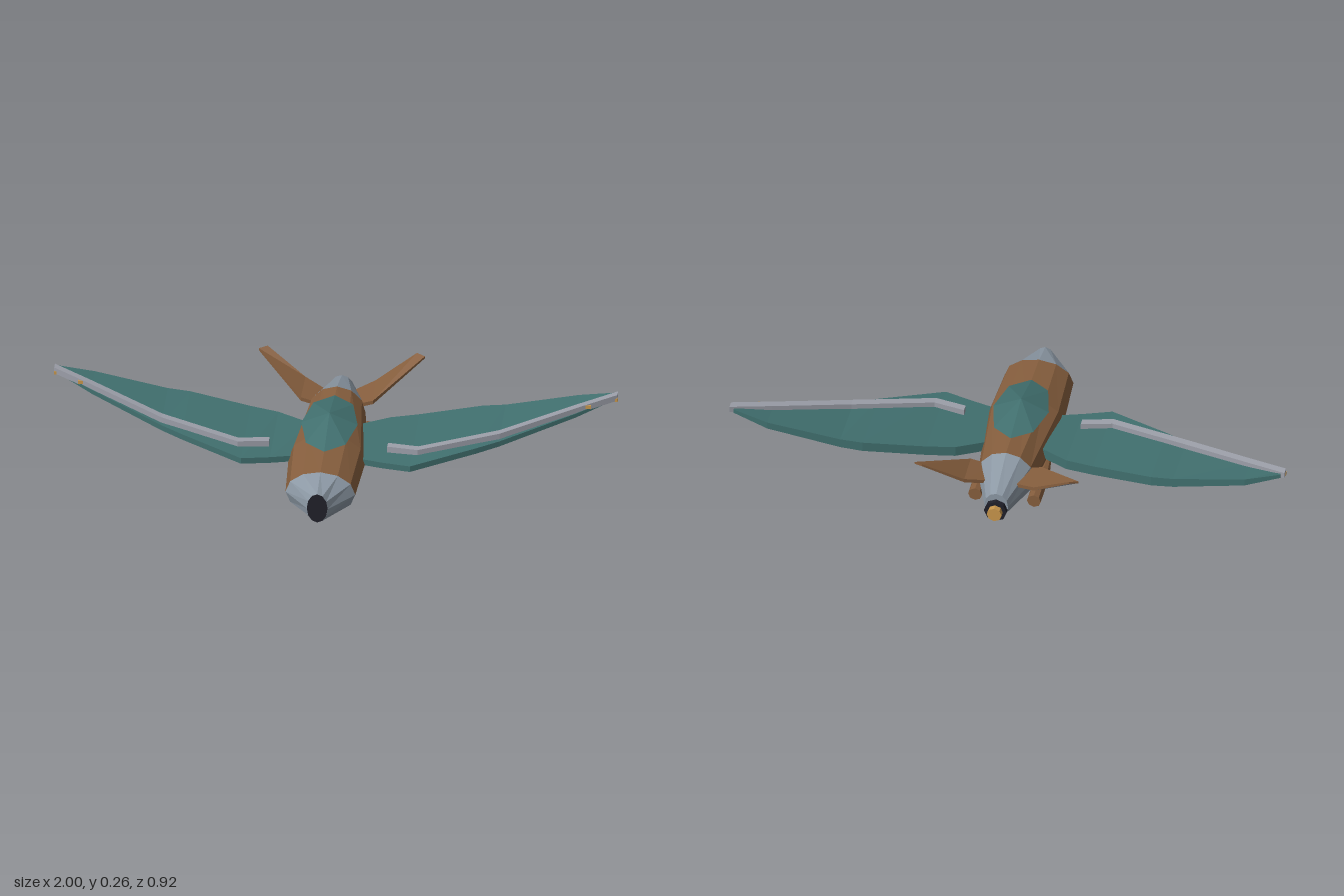
import * as THREE from 'three';

const mat = (name, color) => {
  const m = new THREE.MeshStandardMaterial({ color, flatShading: true });
  m.name = name;
  return m;
};

export function createModel() {
  const brown = mat('brown', 0x875f3e);
  const teal = mat('teal', 0x41706f);
  const silver = mat('silver', 0x8c98a4);
  const steel = mat('steel', 0x9c9fa9);
  const black = mat('black', 0x20202a);
  const gold = mat('gold', 0xc8964b);

  const model = new THREE.Group();
  const add = (name, geo, material, x = 0, y = 0, z = 0) => {
    const mesh = new THREE.Mesh(geo, material);
    mesh.name = name;
    mesh.position.set(x, y, z);
    model.add(mesh);
    return mesh;
  };

  // geometry from lists of quads, one material group per list
  const quads = (...lists) => {
    const pos = [];
    const geo = new THREE.BufferGeometry();
    lists.forEach((list, i) => {
      const start = pos.length / 3;
      for (const [a, b, c, d] of list) pos.push(...a, ...b, ...c, ...a, ...c, ...d);
      geo.addGroup(start, pos.length / 3 - start, i);
    });
    geo.setAttribute('position', new THREE.Float32BufferAttribute(pos, 3));
    geo.computeVertexNormals();
    return geo;
  };

  // fuselage: twelve-sided rings, each [z, half width, top, bottom]
  const SIDES = 12, MID = 0.115;
  const ring = ([z, w, top, bottom]) => Array.from({ length: SIDES }, (_, i) => {
    const a = (i / SIDES) * Math.PI * 2, s = Math.sin(a);
    return [w * Math.cos(a), MID + s * (s > 0 ? top - MID : MID - bottom), z];
  });
  const loft = (sections) => {
    const rings = sections.map(ring), list = [];
    for (let k = 0; k < rings.length - 1; k++) {
      const f = rings[k], r = rings[k + 1];
      for (let i = 0; i < SIDES; i++) {
        const j = (i + 1) % SIDES;
        list.push([f[i], r[i], r[j], f[j]]);
      }
    }
    return quads(list);
  };
  const noseTip = [0.458, 0.037, 0.174, 0.06];
  const noseBase = [0.345, 0.124, 0.2, 0.034];
  const tailBase = [-0.245, 0.102, 0.218, 0.022];
  const tailTip = [-0.422, 0.043, 0.165, 0.06];
  add('nose', loft([noseTip, noseBase]), silver);
  add('body', loft([noseBase, [0.1, 0.137, 0.215, 0.003], tailBase]), brown);
  add('tail', loft([tailBase, tailTip]), silver);

  // end plates
  const intake = add('intake', new THREE.CircleGeometry(1, SIDES), black, 0, 0.117, 0.459);
  intake.scale.set(0.037, 0.057, 1);
  const back = add('tailPlate', new THREE.CircleGeometry(1, SIDES), silver, 0, 0.1125, -0.422);
  back.scale.set(0.043, 0.0525, 1);
  back.rotation.y = Math.PI;

  // engine nozzle
  const drum = (r, len) => new THREE.CylinderGeometry(r, r, len, 8).rotateX(Math.PI / 2);
  add('nozzleCollar', drum(0.041, 0.039), black, 0, 0.1, -0.4195);
  add('nozzle', drum(0.027, 0.026), gold, 0, 0.1, -0.447);

  // canopy, tipped slightly nose down
  const canopy = new THREE.SphereGeometry(1, 8, 2).scale(0.1, 0.044, 0.19);
  add('canopy', canopy, teal, 0, 0.217, 0.022).rotation.x = 0.045;

  // tapered plate between a front and a rear edge; each edge point is
  // [x, top y, z, thickness], and the underside gets its own material group
  const plate = (front, rear, s) => {
    const upper = [], lower = [];
    const top = (p) => [s * p[0], p[1], p[2]];
    const low = (p) => [s * p[0], p[1] - p[3], p[2]];
    const put = (list, ...q) => list.push(s > 0 ? q : q.reverse());
    for (let k = 0; k < front.length - 1; k++) {
      const a = front[k], b = front[k + 1], c = rear[k + 1], d = rear[k];
      put(upper, top(a), top(b), top(c), top(d));
      put(upper, low(a), low(b), top(b), top(a));
      put(upper, low(d), top(d), top(c), low(c));
      put(lower, low(a), low(d), low(c), low(b));
    }
    const f = front[front.length - 1], r = rear[rear.length - 1];
    put(upper, low(f), low(r), top(r), top(f));
    put(upper, top(front[0]), top(rear[0]), low(rear[0]), low(front[0]));
    return quads(upper, lower);
  };

  // wing sections: [x, front z, rear z, rear top y, rear thickness], thinner at the front
  const wing = [
    [0.08, 0.11, -0.095, 0.15, 0.038],
    [0.2, 0.143, -0.16, 0.152, 0.038],
    [0.3, 0.17, -0.183, 0.157, 0.037],
    [0.52, 0.055, -0.232, 0.177, 0.036],
    [0.6, 0.008, -0.236, 0.183, 0.034],
    [0.86, -0.133, -0.25, 0.229, 0.026],
    [0.985, -0.2, -0.232, 0.255, 0.014],
  ];
  const wingFront = wing.map(([x, zf, , y, t]) => [x, y - t * 0.4, zf, t * 0.6]);
  const wingRear = wing.map(([x, , zr, y, t]) => [x, y, zr, t]);

  // spar along the wing: [x, z, top y]
  const spar = [[0.21, 0.06, 0.164], [0.32, 0.08, 0.167], [0.6, -0.022, 0.192], [0.86, -0.15, 0.239], [1, -0.216, 0.263]];
  const sparEdge = (dz) => spar.map(([x, z, y]) => [x, y, z + dz, 0.023]);

  // tail fin edges
  const finFront = [[0.05, 0.15, -0.235, 0.014], [0.128, 0.17, -0.24, 0.014], [0.295, 0.26, -0.418, 0.008]];
  const finRear = [[0.05, 0.155, -0.335, 0.014], [0.125, 0.178, -0.375, 0.014], [0.265, 0.264, -0.433, 0.008]];

  // pod profile: blunt rear, long pointed front
  const podProfile = [[0, -0.275], [0.025, -0.275], [0.025, -0.12], [0.005, 0.03], [0, 0.03]]
    .map(([r, z]) => new THREE.Vector2(r, z));

  for (const [s, side] of [[1, 'left'], [-1, 'right']]) {
    add(side + 'Wing', plate(wingFront, wingRear, s), [teal, steel]);
    add(side + 'WingSpar', plate(sparEdge(0.014), sparEdge(-0.014), s), [steel, steel]);
    add(side + 'WingLight', new THREE.BoxGeometry(0.022, 0.012, 0.012), gold, s * 0.9, 0.236, -0.157);
    add(side + 'TipLight', new THREE.BoxGeometry(0.02, 0.012, 0.012), gold, s * 0.991, 0.243, -0.204);
    add(side + 'TailFin', plate(finFront, finRear, s), [brown, steel]);
    add(side + 'Pod', new THREE.LatheGeometry(podProfile, 8).rotateX(Math.PI / 2), brown, s * 0.106, 0.0425, 0);
  }
  return model;
}
